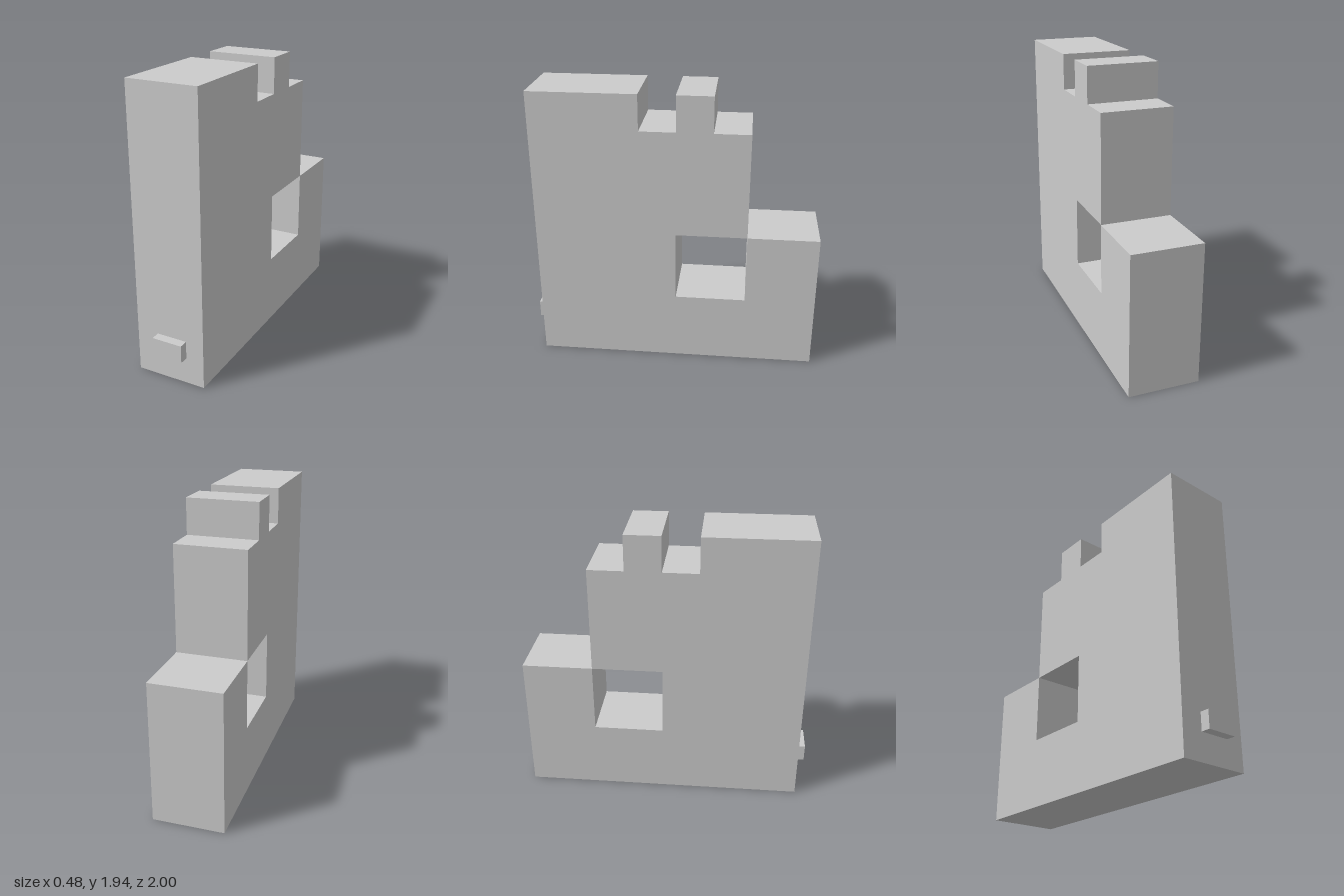
import * as THREE from 'three';

const U = 2 / 8.25;        // grid module of the block
const FRONT = 1 - U / 4;   // z of the front wall

export function createModel() {
  const group = new THREE.Group();
  const material = new THREE.MeshStandardMaterial({ color: 0xcccccc, flatShading: true });

  // Side profile in modules: distance back from the front wall, height.
  // The window meets the step at one corner, so the outline runs around it.
  const profile = [
    [0, 0], [8, 0], [8, 4], [6, 4],           // base and rear step
    [6, 2], [4, 2], [4, 4], [6, 4],           // window
    [6, 7], [5, 7], [5, 8], [4, 8], [4, 7],   // rear battlement
    [3, 7], [3, 8], [0, 8],                   // notch and front top
  ].map(([s, y]) => new THREE.Vector2(s * U, y * U));

  const bodyGeometry = new THREE.ExtrudeGeometry(new THREE.Shape(profile), {
    depth: 2 * U, bevelEnabled: false,
  });
  bodyGeometry.rotateY(Math.PI / 2).translate(-U, 0, FRONT);
  const body = new THREE.Mesh(bodyGeometry, material);
  body.name = 'towerBody';
  group.add(body);

  // Small raised block low on the front
  const block = new THREE.Mesh(new THREE.BoxGeometry(0.21, 0.12, U / 4), material);
  block.position.set(0.013, 0.243, FRONT + U / 8);
  block.name = 'frontBlock';
  group.add(block);

  return group;
}
